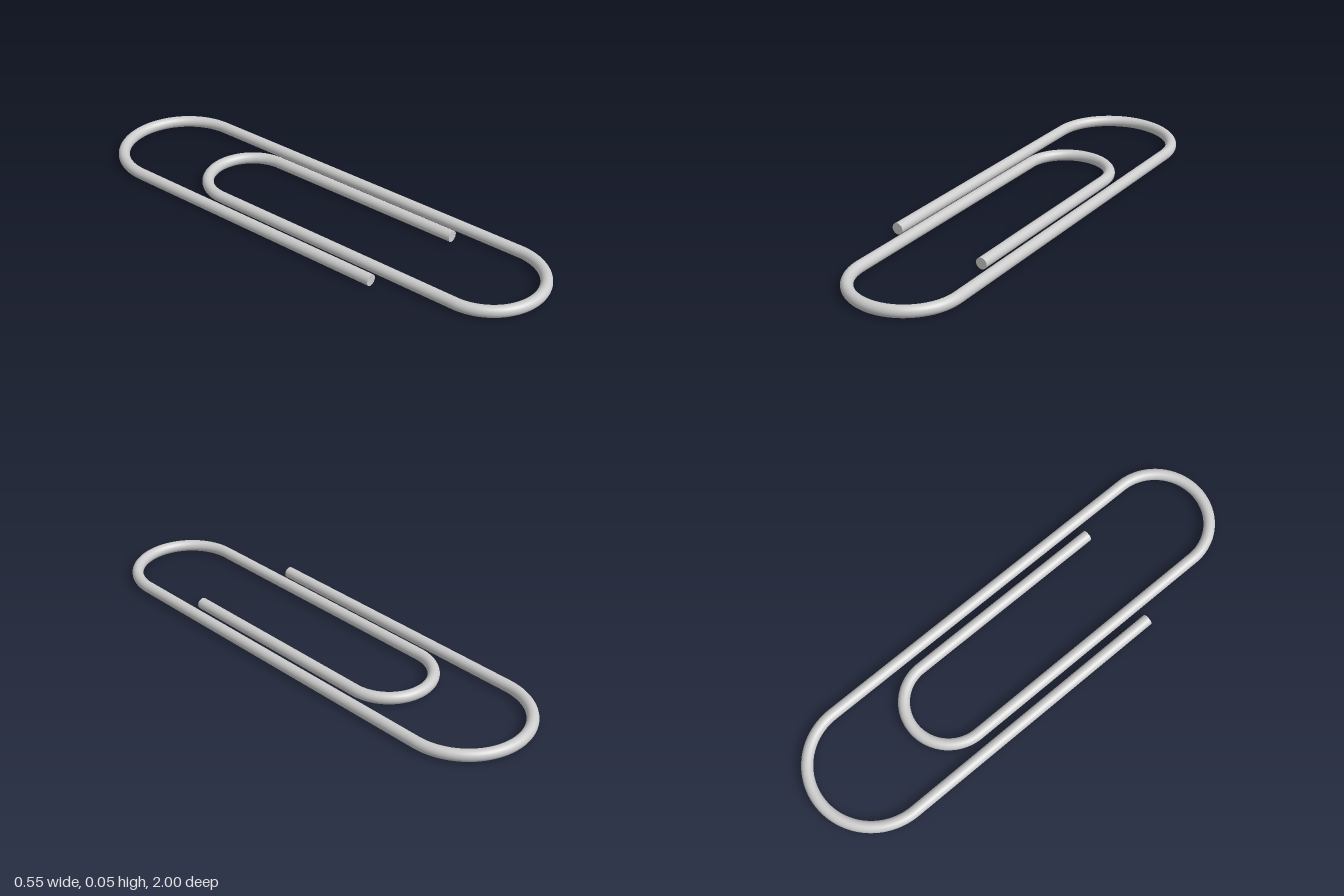
import * as THREE from 'three';

const R = 0.023; // wire radius
const SIDES = 32;

export function createModel() {
  const group = new THREE.Group();
  group.name = 'paperClip';
  const material = new THREE.MeshStandardMaterial({ color: 0xcccccc });

  const add = (name, geometry, x, z) => {
    const mesh = new THREE.Mesh(geometry, material);
    mesh.name = name;
    mesh.position.set(x, R, z);
    group.add(mesh);
  };

  // Straight wire running along z
  const straight = (name, x, z0, z1) => {
    const geometry = new THREE.CylinderGeometry(R, R, z1 - z0, SIDES, 1, true);
    add(name, geometry.rotateX(Math.PI / 2), x, (z0 + z1) / 2);
  };

  // Half-circle bend lying flat; dir is +1 towards the front, -1 towards the back
  const bend = (name, x, z, radius, dir) => {
    const geometry = new THREE.TorusGeometry(radius, R, SIDES, 64, Math.PI);
    add(name, geometry.rotateX(dir * Math.PI / 2), x, z);
  };

  // Flat cut end facing the front
  const cutEnd = (name, x, z) => add(name, new THREE.CircleGeometry(R, SIDES), x, z);

  const outerX = 0.25, innerX = 0.174;
  const backZ = -0.727, frontZ = 0.765, innerZ = -0.353;
  const outerEndZ = 0.452, innerEndZ = 0.513;

  // Outer loop
  cutEnd('outerWireEnd', -outerX, outerEndZ);
  straight('outerRightWire', -outerX, backZ, outerEndZ);
  bend('backBend', 0, backZ, outerX, -1);
  straight('outerLeftWire', outerX, backZ, frontZ);
  bend('frontBend', (outerX - innerX) / 2, frontZ, (outerX + innerX) / 2, 1);

  // Inner loop
  straight('innerRightWire', -innerX, innerZ, frontZ);
  bend('innerBend', 0, innerZ, innerX, -1);
  straight('innerLeftWire', innerX, innerZ, innerEndZ);
  cutEnd('innerWireEnd', innerX, innerEndZ);

  return group;
}
